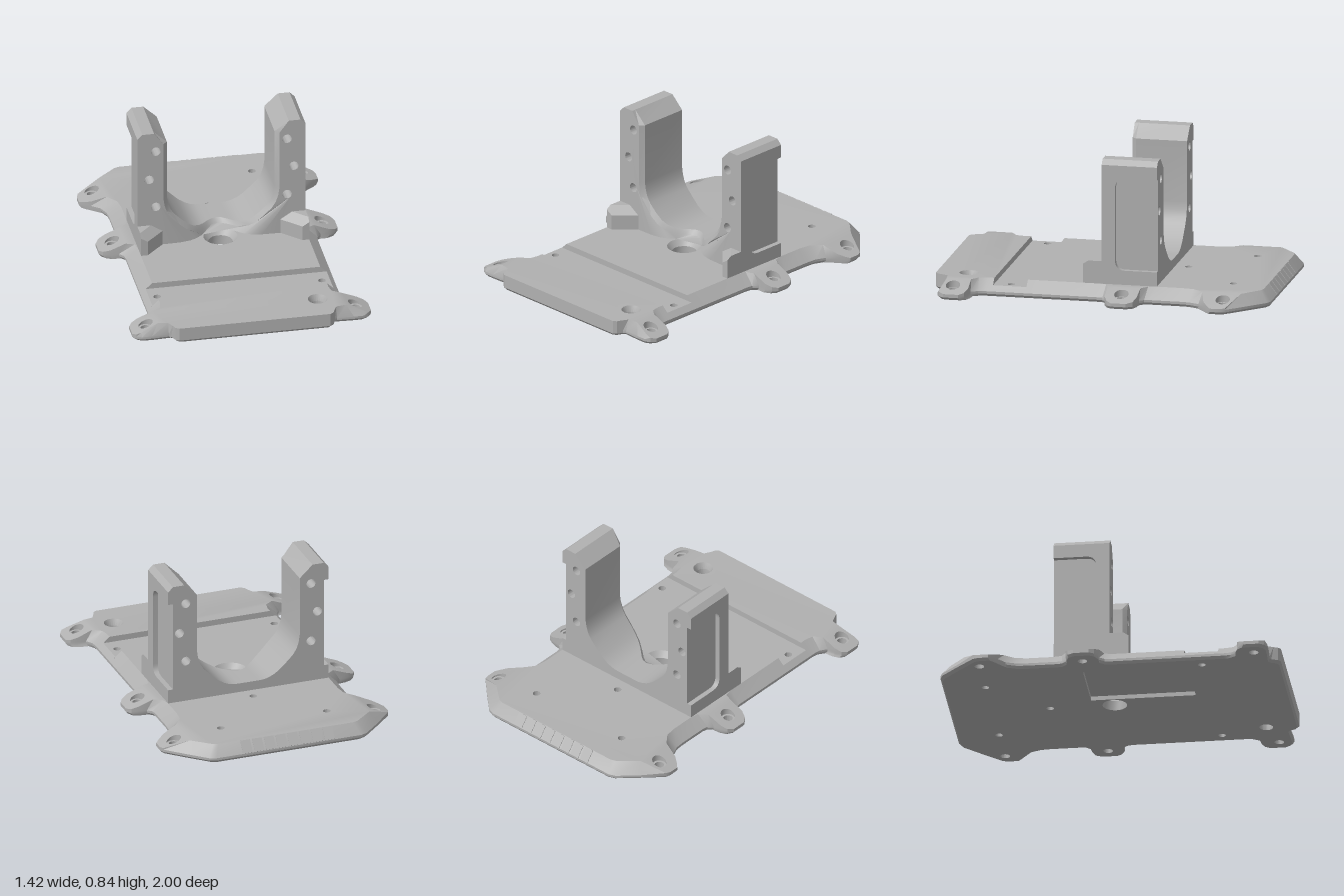
import * as THREE from 'three';
import { toCreasedNormals } from 'three/addons/utils/BufferGeometryUtils.js';
import { ConvexGeometry } from 'three/addons/geometries/ConvexGeometry.js';

const TOP = 0.095, GROOVE = 0.06;
// height of the plate's top: flat, then falling away over the mounting ears
const roof = x => Math.abs(x) <= 0.56 ? TOP : TOP - (Math.abs(x) - 0.56) * 0.4;

// right half of the plate edge, back to front: rim x, rim z, top x, top z, own top height
const EDGE = [
  [.45, -1, .42, -.95], [.49, -.985, .45, -.94], [.60, -.88, .56, -.845],
  [.70, -.78], [.71, -.75], [.71, -.69], [.69, -.67], [.65, -.64], [.60, -.60, .56, -.615],
  [.575, -.54, .51, -.55], [.57, -.48, .5, -.48], [.57, -.30, .5, -.33], [.575, -.27, .51, -.28],
  [.60, -.245, .56, -.245], [.65, -.24], [.69, -.225], [.71, -.19], [.71, -.10], [.69, -.07],
  [.65, -.05], [.60, -.05, .56, -.05], [.575, -.02, .51, -.03], [.57, .02, .5, .02],
  [.57, .44, .5, .44], [.57, .44, .538, .44, GROOVE], [.57, .64, .538, .64, GROOVE], [.57, .64, .5, .64],
  [.57, .68, .5, .68], [.575, .72, .51, .73], [.60, .76, .56, .765], [.65, .765], [.69, .78],
  [.71, .81], [.71, .90], [.69, .93], [.66, .945, .66, .93], [.60, .945, .56, .91],
  [.50, .94, .50, .92], [.485, .95, .48, .96], [.47, .985], [.45, 1],
].map(([bx, bz, tx = bx, tz = bz, ty = roof(tx)]) => ({ bx, bz, tx, tz, ty }));

// holes: x, z, upper radius, lower radius, step height, coned (true) or stepped
const earHoles = [-.75, -.145, .86].flatMap(z => [1, -1].map(s => [s * .623, z, .042, .028, .045, false]));
const pinHoles = [[.33, -.75], [-.33, -.75], [0, -.41]].map(([x, z]) => [x, z, .022, .022, .05, true]);
const grooveHoles = [.49, -.49].map(x => [x, .54, .022, .022, .03, true]);
const centreHole = [0, -.03, .1, .072, .06, true];
const cornerHole = [.41, .81, .057, .04, .06, true];

const circle = (x, z, r, y) => Array.from({ length: 24 }, (_, i) => {
  const t = i * Math.PI / 12, px = x + r * Math.cos(t);
  return [px, typeof y === 'function' ? y(px) : y, z + r * Math.sin(t)];
});

function basePlateGeometry() {
  const pos = [];
  const tri = (a, b, c) => pos.push(...a, ...b, ...c);
  // surface through a stack of closed loops
  const skin = loops => {
    for (let k = 0; k + 1 < loops.length; k++) {
      const A = loops[k], B = loops[k + 1];
      A.forEach((a, i) => {
        const j = (i + 1) % A.length;
        tri(A[j], a, B[i]);
        tri(A[j], B[i], B[j]);
      });
    }
  };
  // filled loop with holes, facing up or down
  const cap = (outline, holes, up) => {
    const flat = loop => loop.map(p => new THREE.Vector2(p[0], p[2]));
    const all = [outline, ...holes].flat();
    for (const f of THREE.ShapeUtils.triangulateShape(flat(outline), holes.map(flat))) {
      const [a, b, c] = f.map(i => all[i]);
      const ny = (b[2] - a[2]) * (c[0] - a[0]) - (b[0] - a[0]) * (c[2] - a[2]);
      if ((ny > 0) === up) tri(a, b, c); else tri(a, c, b);
    }
  };
  const mouth = ([x, z, r], y = roof) => circle(x, z, r, y);
  const drill = ([x, z, r1, r2, step, cone], y = roof) => skin([
    circle(x, z, r1, y), ...(cone ? [] : [circle(x, z, r1, step)]),
    circle(x, z, r2, step), circle(x, z, r2, 0)]);

  const loop = [...EDGE, ...[...EDGE].reverse().map(p => ({ ...p, bx: -p.bx, tx: -p.tx }))];
  const top = loop.map(p => [p.tx, p.ty, p.tz]);
  const foot = loop.map(p => [p.bx - Math.sign(p.bx) * .012, 0, p.bz * .988]);

  // rim and sloping sides
  skin([foot, loop.map(p => [p.bx, .015, p.bz]), loop.map(p => [p.bx, .03, p.bz]), top]);

  // flat top behind and in front of the groove
  const flatTop = top.filter(p => Math.abs(p[0]) <= .56 && p[1] === TOP);
  cap(flatTop.filter(p => p[2] <= .44), [...pinHoles, centreHole].map(h => mouth(h)), true);
  cap(flatTop.filter(p => p[2] >= .64), [mouth(cornerHole)], true);

  // sloping ears
  for (const h of earHoles) {
    const ear = top.filter(p => p[0] * Math.sign(h[0]) >= .56 && Math.abs(p[2] - h[1]) < .2);
    cap(ear, [mouth(h)], true);
  }

  // cross groove
  const g = GROOVE;
  cap([[-.538, g, .44], [.538, g, .44], [.538, g, .64], [-.538, g, .64]], grooveHoles.map(h => mouth(h, g)), true);
  const wall = z => [[-.538, g, z], [.538, g, z], [.5, TOP, z], [-.5, TOP, z]];
  const [a, b, c, d] = wall(.44), [e, f, i, j] = wall(.64);
  tri(a, b, c); tri(a, c, d);
  tri(e, i, f); tri(e, j, i);

  // hole walls
  const plain = [...earHoles, ...pinHoles, centreHole, cornerHole];
  plain.forEach(h => drill(h));
  grooveHoles.forEach(h => drill(h, g));

  // underside with a shallow pocket
  const pocket = y => [[-.47, y, -.16], [-.08, y, -.16], [-.08, y, .455], [-.47, y, .455]];
  cap(foot, [...[...plain, ...grooveHoles].map(h => circle(h[0], h[1], h[3], 0)), pocket(0)], false);
  skin([pocket(.025), pocket(0)]);
  cap(pocket(.025), [], false);

  const geo = new THREE.BufferGeometry();
  geo.setAttribute('position', new THREE.Float32BufferAttribute(pos, 3));
  return toCreasedNormals(geo, .5);
}

function cradleGeometry() {
  // inner edge of the cradle, tower top down to the middle
  const inner = [[.32, .765], [.32, .40], [.313, .355], [.30, .315], [.278, .28], [.23, .232], [.19, .195],
    [.155, .172], [.12, .157], [.09, .151], [.06, .15], [.03, .15], [0, .15]];
  const half = [[.47, TOP], [.47, .84], [.40, .84], ...inner];
  const floor = [-.32, -.24, -.18, -.14, -.1, -.06, -.03, 0, .03, .06, .1, .14, .18, .24, .32].map(x => [x, TOP]);
  const outline = [...half, ...half.slice(0, -1).reverse().map(([x, y]) => [-x, y]), ...floor];
  const shape = new THREE.Shape(outline.map(p => new THREE.Vector2(...p)));
  for (const s of [1, -1])
    for (const [x, y] of [[.39, .72], [.43, .535], [.39, .35]])
      shape.holes.push(new THREE.Path().absarc(s * x, y, .028, 0, Math.PI * 2, true));
  const geo = new THREE.ExtrudeGeometry(shape, { depth: .33, steps: 2, bevelEnabled: false, curveSegments: 20 });
  // bevel the front inner edge and scoop the front back around the centre hole
  const p = geo.attributes.position;
  for (let i = 0; i < p.count; i++) {
    let x = p.getX(i), y = p.getY(i);
    const layer = Math.round(p.getZ(i) / .165);
    const scoop = .135 * Math.exp(-((x / .12) ** 2));
    if (layer === 2 && Math.abs(x) < .325 && y > .12) {
      const dy = Math.min(y - .42, 0), len = Math.hypot(x, dy);
      x += .025 * x / len;
      y += .025 * dy / len;
    }
    p.setXYZ(i, x, y, [-.33, -.025 - scoop, -scoop][layer]);
  }
  return toCreasedNormals(geo, .5);
}

function towerSideGeometry() {
  // outer cheek with a rounded recess that is open to the back
  const s = new THREE.Shape();
  s.moveTo(0, TOP); s.lineTo(.33, TOP); s.lineTo(.33, .18); s.lineTo(.14, .18);
  s.quadraticCurveTo(.08, .18, .08, .24); s.lineTo(.08, .67);
  s.quadraticCurveTo(.08, .73, .14, .73); s.lineTo(.33, .73);
  s.lineTo(.33, .81); s.lineTo(0, .81);
  const geo = new THREE.ExtrudeGeometry(s, { depth: .03, bevelEnabled: false, curveSegments: 8 });
  geo.rotateY(Math.PI / 2).translate(.47, 0, 0);
  const p = geo.attributes.position;
  for (let i = 0; i < p.count; i++) if (p.getX(i) < .48 && p.getY(i) > .8) p.setY(i, .84);
  return toCreasedNormals(geo, .5);
}

export function createModel() {
  const model = new THREE.Group();
  model.name = 'mountingBracket';
  const grey = new THREE.MeshStandardMaterial({ color: 0xb0b0b0, side: THREE.DoubleSide });
  grey.name = 'grey';
  const add = (name, geo) => {
    const mesh = new THREE.Mesh(geo, grey);
    mesh.name = name;
    model.add(mesh);
    return mesh;
  };

  add('basePlate', basePlateGeometry());
  add('cradle', cradleGeometry());

  // tower cheeks and corner gussets on both sides
  const side = towerSideGeometry();
  const gusset = new ConvexGeometry([
    [.35, TOP, 0], [.46, TOP, .11], [.5, TOP, .11], [.5, TOP, 0],
    [.35, .185, 0], [.46, .185, .11], [.5, .21, .11],
    [.42, .23, 0], [.5, .23, .08], [.5, .23, 0],
  ].map(p => new THREE.Vector3(...p)));
  for (const [label, s] of [['left', 1], ['right', -1]]) {
    add(label + 'TowerSide', side).scale.x = s;
    add(label + 'Gusset', gusset).scale.x = s;
  }

  // grip ridges on the back bevel
  const ridge = new THREE.BoxGeometry(.06, .006, .078);
  for (let i = 0; i < 8; i++) {
    const mesh = add('gripRidge', ridge);
    mesh.position.set((i - 3.5) * .073, .063, -.975);
    mesh.rotation.x = -Math.atan2(.065, .05);
  }
  return model;
}
